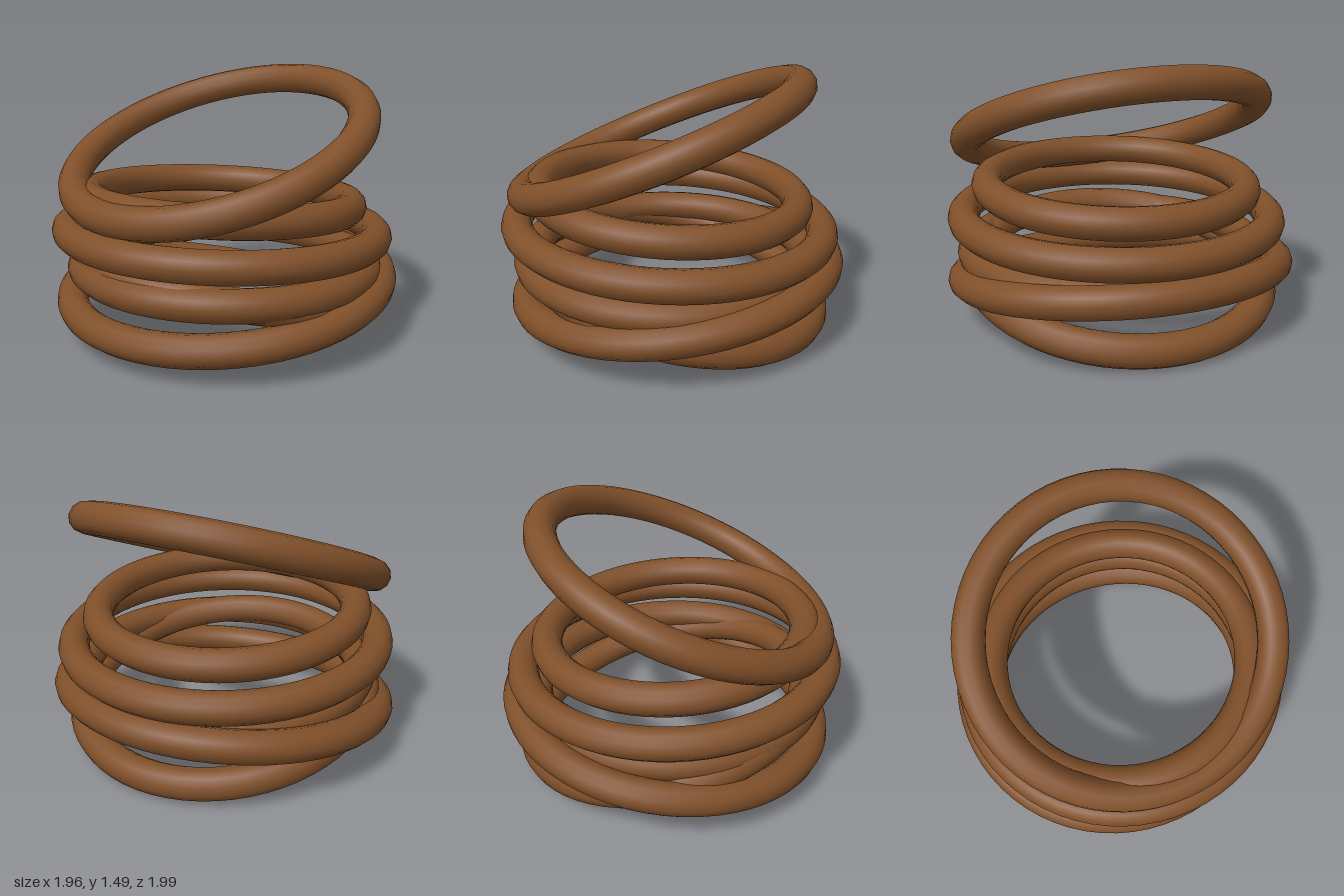
import * as THREE from 'three';

const TUBE = 0.088;

// One entry per ring, bottom to top: centre, ring radius, rise per unit of x, stretch in z
const RINGS = [
  { name: 'bottomRing', at: [0.015, 0.277, 0.01], radius: 0.825, slope: -0.225 },
  { name: 'secondRing', at: [0.018, 0.288, 0.004], radius: 0.883, slope: 0.135, stretch: 1.025 },
  { name: 'thirdRing', at: [-0.02, 0.405, 0.035], radius: 0.808, slope: -0.015 },
  { name: 'fourthRing', at: [-0.02, 0.6, 0.015], radius: 0.875, slope: -0.037 },
  { name: 'fifthRing', at: [-0.03, 0.775, 0.012], radius: 0.738, slope: -0.065 },
  { name: 'topRing', at: [-0.075, 1.1, 0.02], radius: 0.828, slope: 0.405 },
];

export function createModel() {
  const group = new THREE.Group();
  group.name = 'ringStack';
  const brown = new THREE.MeshStandardMaterial({ color: 0x80502a });

  // Loosely stacked rings, each leaning to one side
  for (const { name, at, radius, slope, stretch = 1 } of RINGS) {
    const geometry = new THREE.TorusGeometry(radius, TUBE, 12, 64);
    geometry.rotateX(Math.PI / 2);
    geometry.scale(1, 1, stretch);
    const ring = new THREE.Mesh(geometry, brown);
    ring.name = name;
    ring.rotation.z = Math.atan(slope);
    ring.position.set(...at);
    group.add(ring);
  }
  return group;
}
